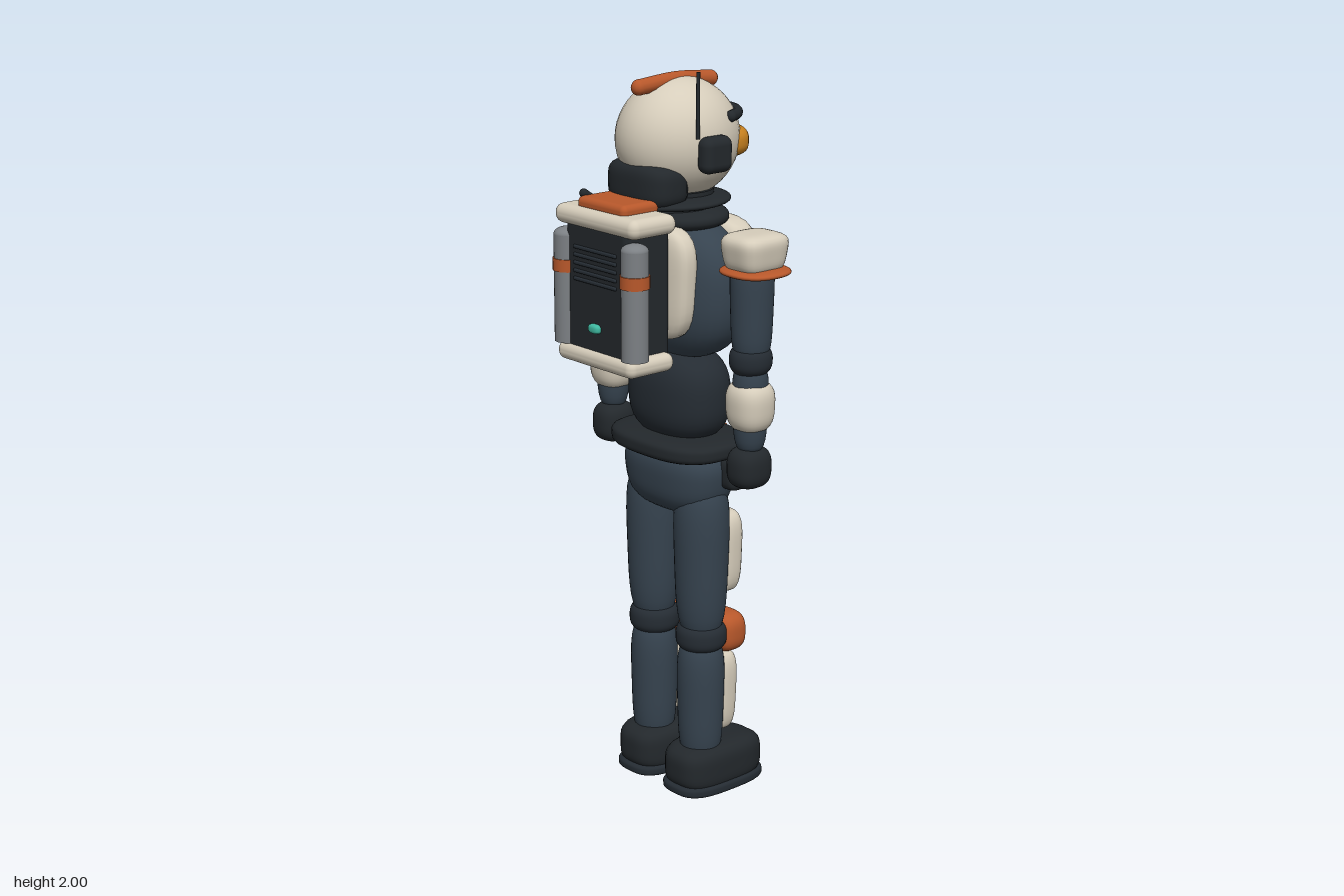
import * as THREE from 'three';
import { mergeVertices } from 'three/addons/utils/BufferGeometryUtils.js';
import { RoundedBoxGeometry } from 'three/addons/geometries/RoundedBoxGeometry.js';

const mat = (color) => new THREE.MeshStandardMaterial({ color });
const navy = mat(0x36434f), dark = mat(0x23282c), suit = mat(0x252c33), cream = mat(0xd6cdbb);
const orange = mat(0xb8582b), gold = mat(0xc9821f), steel = mat(0x7c8084), teal = mat(0x3fb8a0);

function add(parent, name, geometry, material) {
  const mesh = new THREE.Mesh(geometry, material);
  mesh.name = name;
  parent.add(mesh);
  return mesh;
}

// Soft rounded solid filling the given ranges. n: vertical squareness,
// m: squareness seen from above, taper: width of the bottom against the top.
function blob(parent, name, material, [x0, x1], [y0, y1], [z0, z1], n = 2, m = 2, taper = 1) {
  const base = new THREE.SphereGeometry(1, 36, 24);
  base.deleteAttribute('uv');
  base.deleteAttribute('normal');
  const geo = mergeVertices(base);
  const pos = geo.attributes.position, p = new THREE.Vector3();
  for (let i = 0; i < pos.count; i++) {
    p.fromBufferAttribute(pos, i);
    const h = (Math.abs(p.x) ** m + Math.abs(p.z) ** m) ** (1 / m);
    p.divideScalar((h ** n + Math.abs(p.y) ** n) ** (1 / n));
    const k = taper + (1 - taper) * (p.y + 1) / 2;
    pos.setXYZ(i, p.x * k * (x1 - x0) / 2, p.y * (y1 - y0) / 2, p.z * k * (z1 - z0) / 2);
  }
  geo.computeVertexNormals();
  const mesh = add(parent, name, geo, material);
  mesh.position.set((x0 + x1) / 2, (y0 + y1) / 2, (z0 + z1) / 2);
  return mesh;
}

// Rounded box filling the given ranges
function box(parent, name, material, [x0, x1], [y0, y1], [z0, z1], r) {
  const mesh = add(parent, name, new RoundedBoxGeometry(x1 - x0, y1 - y0, z1 - z0, 4, r), material);
  mesh.position.set((x0 + x1) / 2, (y0 + y1) / 2, (z0 + z1) / 2);
}

function cylinder(parent, name, material, r, y0, y1, x, z, rTop = r) {
  const mesh = add(parent, name, new THREE.CylinderGeometry(rTop, r, y1 - y0, 28), material);
  mesh.position.set(x, (y0 + y1) / 2, z);
}

// Bent rod with round ends
function rod(parent, name, material, points, r) {
  const group = new THREE.Group();
  group.name = name;
  const path = points.map((q) => new THREE.Vector3(...q));
  add(group, name + 'Bar', new THREE.TubeGeometry(new THREE.CatmullRomCurve3(path), 32, r, 12), material);
  for (const end of [path[0], path[path.length - 1]]) {
    add(group, name + 'End', new THREE.SphereGeometry(r, 12, 10), material).position.copy(end);
  }
  parent.add(group);
}

function buildHead(g) {
  blob(g, 'helmet', cream, [-0.152, 0.152], [1.65, 1.97], [-0.222, 0.12]);
  rod(g, 'crest', orange, [[0, 1.952, 0.08], [0, 1.96, -0.04], [0, 1.952, -0.163]], 0.021);
  blob(g, 'visor', gold, [-0.12, 0.12], [1.75, 1.842], [-0.236, -0.09], 3, 2.4);
  const brow = [];
  for (let i = -4; i <= 4; i++) {
    const a = i * 0.28;
    brow.push([0.14 * Math.sin(a), 1.872, -0.05 - 0.166 * Math.cos(a)]);
  }
  rod(g, 'brow', dark, brow, 0.015);
  blob(g, 'napeGuard', dark, [-0.115, 0.115], [1.645, 1.765], [-0.02, 0.122], 4, 3);
  for (const s of [-1, 1]) {
    const x = [0.13 * s, 0.182 * s].sort((a, b) => a - b);
    box(g, 'earPiece', dark, x, [1.74, 1.835], [-0.088, 0.007], 0.024);
  }
  cylinder(g, 'antenna', dark, 0.005, 1.83, 2, 0.142, 0.005);
  // Neck and collar
  cylinder(g, 'neck', dark, 0.1, 1.56, 1.68, 0, -0.045);
  blob(g, 'upperCollar', dark, [-0.15, 0.15], [1.636, 1.672], [-0.19, 0.13], 2.5);
  blob(g, 'lowerCollar', dark, [-0.14, 0.14], [1.575, 1.64], [-0.182, 0.075], 2.5);
}

function buildTorso(g) {
  blob(g, 'torso', navy, [-0.215, 0.215], [1.23, 1.61], [-0.175, 0.055], 2.5, 2.4);
  blob(g, 'chestPlate', cream, [-0.18, 0.18], [1.33, 1.605], [-0.207, -0.09], 4, 3.5, 0.8);
  blob(g, 'backPlate', cream, [-0.17, 0.17], [1.3, 1.605], [0, 0.09], 4, 3.5, 0.9);
  rod(g, 'chestStripe', orange, [[-0.13, 1.55, -0.204], [0, 1.552, -0.217], [0.13, 1.55, -0.204]], 0.012);
  blob(g, 'chestLight', teal, [0.09, 0.125], [1.45, 1.475], [-0.222, -0.18], 3, 3);
  blob(g, 'waist', suit, [-0.155, 0.155], [1, 1.255], [-0.167, 0.05], 2.8, 2.3);
  blob(g, 'belt', dark, [-0.195, 0.195], [0.963, 1.027], [-0.195, 0.082], 4, 2.8);
  box(g, 'buckle', orange, [-0.04, 0.04], [0.97, 1.015], [-0.206, -0.17], 0.012);
  blob(g, 'hips', navy, [-0.182, 0.182], [0.8, 1], [-0.172, 0.055], 3, 2.5, 0.85);
}

function buildBackpack(g) {
  const pack = new THREE.Group();
  pack.name = 'backpack';
  box(pack, 'packBody', dark, [-0.125, 0.125], [1.26, 1.62], [0.08, 0.228], 0.02);
  box(pack, 'packTop', cream, [-0.162, 0.162], [1.6, 1.652], [0.085, 0.238], 0.024);
  box(pack, 'packBottom', cream, [-0.152, 0.152], [1.238, 1.287], [0.085, 0.24], 0.022);
  box(pack, 'packHatch', orange, [-0.095, 0.095], [1.64, 1.677], [0.09, 0.213], 0.016);
  for (let i = 0; i < 5; i++) {
    const y = 1.465 + i * 0.021;
    box(pack, 'vent', suit, [-0.085, 0.085], [y - 0.005, y + 0.005], [0.22, 0.234], 0.004);
  }
  blob(pack, 'packLight', teal, [-0.021, 0.021], [1.333, 1.358], [0.215, 0.243], 3, 3);
  for (const x of [-0.135, 0.135]) {
    cylinder(pack, 'tank', steel, 0.036, 1.285, 1.57, x, 0.21);
    blob(pack, 'tankCap', steel, [x - 0.036, x + 0.036], [1.55, 1.59], [0.174, 0.246]);
    cylinder(pack, 'tankBand', orange, 0.039, 1.475, 1.508, x, 0.21);
  }
  rod(pack, 'hose', dark, [[-0.085, 1.648, 0.145], [-0.09, 1.667, 0.17], [-0.094, 1.68, 0.187]], 0.012);
  g.add(pack);
}

// s is the side: 1 for +x, -1 for -x
function buildArm(g, s) {
  const arm = new THREE.Group();
  arm.name = s > 0 ? 'leftArm' : 'rightArm';
  const part = (name, m, x, rx, y, z, rz, ...shape) =>
    blob(arm, name, m, [s * x - rx, s * x + rx], y, [z - rz, z + rz], ...shape);
  part('shoulderCap', cream, 0.287, 0.072, [1.5, 1.606], -0.06, 0.083, 4, 4, 0.8);
  part('shoulderRing', orange, 0.29, 0.086, [1.492, 1.519], -0.06, 0.086, 2.5, 2.5);
  part('upperArm', navy, 0.279, 0.058, [1.27, 1.54], -0.06, 0.062, 5, 2, 0.85);
  part('elbow', suit, 0.277, 0.055, [1.225, 1.315], -0.06, 0.058, 2.5);
  part('forearm', navy, 0.277, 0.05, [1.02, 1.26], -0.06, 0.05, 4, 2, 0.85);
  part('forearmGuard', cream, 0.277, 0.065, [1.075, 1.215], -0.06, 0.063, 3, 2.4, 0.9);
  part('hand', dark, 0.275, 0.051, [0.923, 1.035], -0.06, 0.058, 3, 2.5);
  g.add(arm);
}

function buildLeg(g, s) {
  const leg = new THREE.Group();
  leg.name = s > 0 ? 'leftLeg' : 'rightLeg';
  const part = (name, m, x, rx, y, z, ...shape) =>
    blob(leg, name, m, [s * x - rx, s * x + rx], y, z, ...shape);
  part('pouch', dark, 0.178, 0.032, [0.885, 0.975], [-0.145, -0.06], 4, 4);
  part('thigh', navy, 0.098, 0.082, [0.45, 0.9], [-0.133, 0.027], 4, 2, 0.82);
  part('thighPlate', cream, 0.098, 0.06, [0.57, 0.803], [-0.17, -0.09], 4, 3, 0.88);
  part('knee', suit, 0.097, 0.07, [0.412, 0.5], [-0.125, 0.015], 3);
  part('kneePad', orange, 0.097, 0.06, [0.393, 0.507], [-0.185, -0.09], 3, 3);
  part('shin', navy, 0.097, 0.069, [0.08, 0.45], [-0.122, 0.015], 4, 2, 0.86);
  part('shinPlate', cream, 0.097, 0.052, [0.163, 0.397], [-0.162, -0.08], 4, 3, 0.84);
  part('boot', dark, 0.096, 0.084, [0.01, 0.142], [-0.243, 0.04], 4, 3.2);
  part('sole', suit, 0.096, 0.088, [0, 0.04], [-0.248, 0.045], 4, 3.2);
  g.add(leg);
}

export function createModel() {
  const model = new THREE.Group();
  model.name = 'spaceExplorer';
  buildHead(model);
  buildTorso(model);
  buildBackpack(model);
  for (const s of [1, -1]) {
    buildArm(model, s);
    buildLeg(model, s);
  }
  return model;
}
